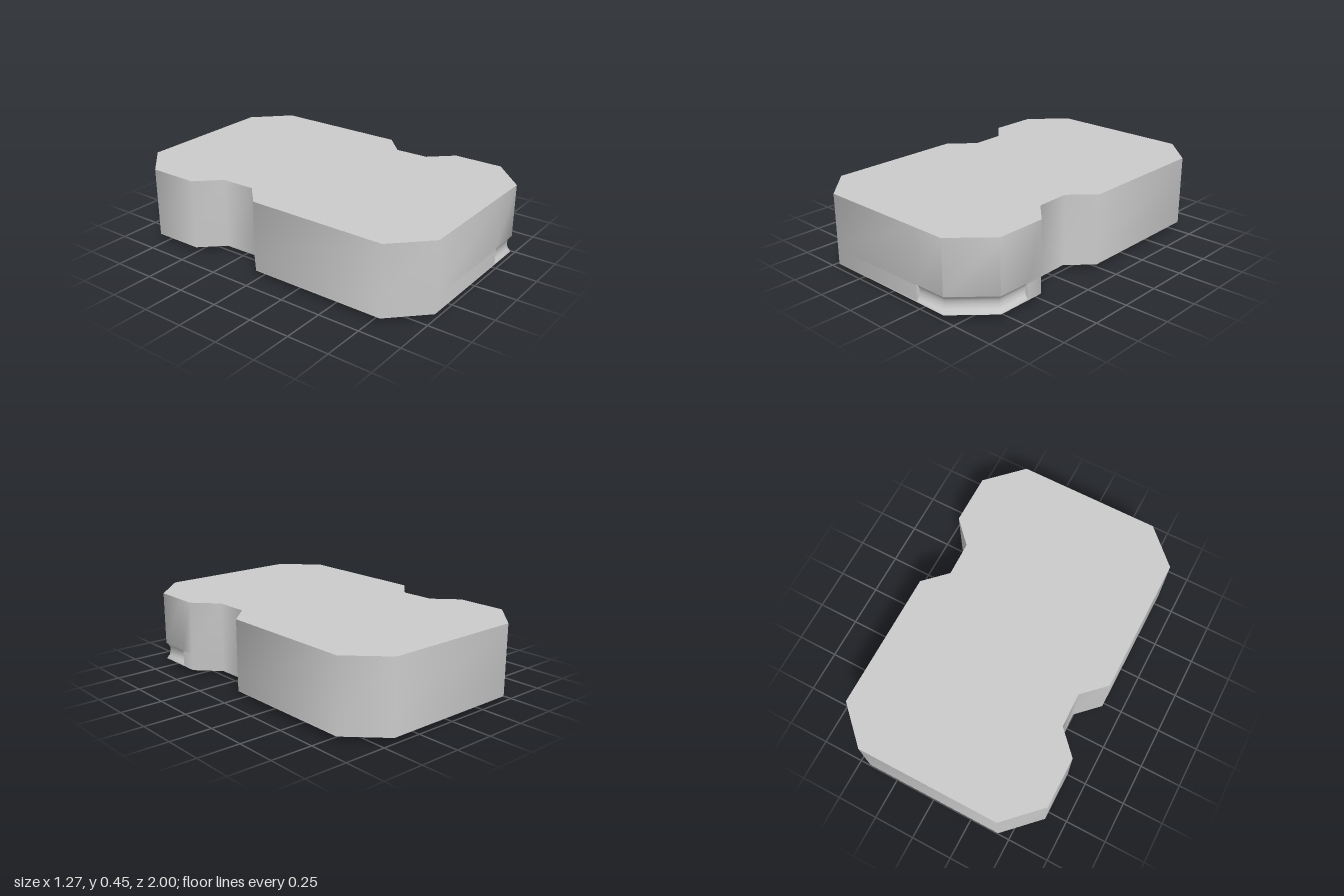
import * as THREE from 'three';
import { toCreasedNormals } from 'three/addons/utils/BufferGeometryUtils.js';

const BOTTOM = 0.032, TOP = 0.453;

// Half of the plan outline as [x, z]; the other half is the same turned by 180 degrees
const HALF = [[0.43, -1], [0.633, -0.8], [0.633, 0.03], [0.5, 0.16], [0.505, 0.365], [0.633, 0.5], [0.633, 0.8], [0.43, 1]];
const OUTLINE = [...HALF, ...HALF.map(([x, z]) => [-x, -z])];

// Wall points [x, z, inset x, inset z]; doubled points form the ends of the corner groove
const GROOVE = [
  [0.633, 0.6, 0, 0], [0.633, 0.6, -1, 0], [0.633, 0.8, -1, -0.414],
  [0.43, 1, -0.414, -1], [0.23, 1, 0, -1], [0.23, 1, 0, 0],
];
const plain = ([x, z]) => [x, z, 0, 0];
const WALL = [...OUTLINE.slice(0, 6).map(plain), ...GROOVE, ...OUTLINE.slice(8).map(plain)];

// Groove section as [height, depth]
const SECTION = [[BOTTOM, 0], [0.042, 0.004], [0.055, 0.015], [0.08, 0.022], [0.105, 0.02], [0.122, 0.012], [0.134, 0], [TOP, 0]];

function wallGeometry() {
  const rows = SECTION.map(([y, d]) => WALL.map(([x, z, ix, iz]) => new THREE.Vector3(x + ix * d, y, z + iz * d)));
  const pos = [];
  const tri = (a, b, c) => {
    if (a.equals(b) || b.equals(c) || c.equals(a)) return;
    for (const p of [a, b, c]) pos.push(p.x, p.y, p.z);
  };
  for (let r = 0; r < rows.length - 1; r++) {
    for (let i = 0; i < WALL.length; i++) {
      const j = (i + 1) % WALL.length;
      tri(rows[r][j], rows[r][i], rows[r + 1][i]);
      tri(rows[r][j], rows[r + 1][i], rows[r + 1][j]);
    }
  }
  const geo = new THREE.BufferGeometry();
  geo.setAttribute('position', new THREE.Float32BufferAttribute(pos, 3));
  return toCreasedNormals(geo, 1.0);
}

// Flat cap facing up (side = 1) or down (side = -1)
function capGeometry(side, y) {
  const shape = new THREE.Shape(OUTLINE.map(([x, z]) => new THREE.Vector2(x, -side * z)));
  return new THREE.ShapeGeometry(shape).rotateX(-side * Math.PI / 2).translate(0, y, 0);
}

export function createModel() {
  const group = new THREE.Group();
  const material = new THREE.MeshStandardMaterial({ color: 0xcccccc });
  const add = (name, geometry) => {
    const mesh = new THREE.Mesh(geometry, material);
    mesh.name = name;
    group.add(mesh);
  };

  // Notched block with a shallow groove round one lower corner
  add('sideWall', wallGeometry());
  add('topFace', capGeometry(1, TOP));
  add('bottomFace', capGeometry(-1, BOTTOM));

  // Low rounded foot under the centre
  const foot = [[0, 0], [0.11, 0.001], [0.15, 0.008], [0.2, BOTTOM]];
  add('foot', new THREE.LatheGeometry(foot.map(([r, y]) => new THREE.Vector2(r, y)), 16));

  return group;
}
